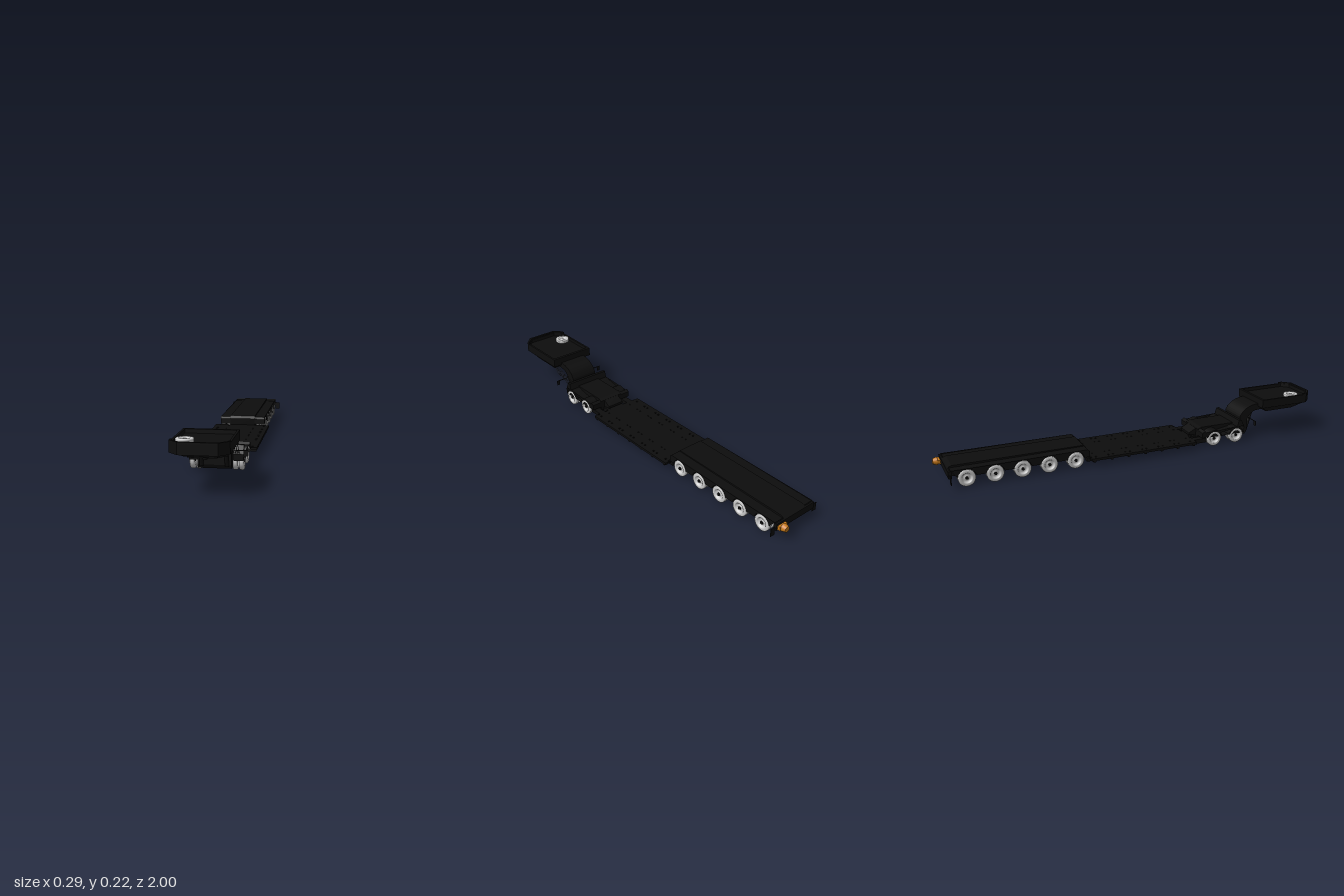
import * as THREE from 'three';
import { ConvexGeometry } from 'three/addons/geometries/ConvexGeometry.js';

const dark = new THREE.MeshStandardMaterial({ color: 0x0d0d0d, side: THREE.DoubleSide });
const grey = new THREE.MeshStandardMaterial({ color: 0xcccccc });
const orange = new THREE.MeshStandardMaterial({ color: 0xc87a1a });
const R = 0.041; // wheel radius

const shapeOf = (pts) => new THREE.Shape(pts.map(([a, b]) => new THREE.Vector2(a, b)));

export function createModel() {
  const root = new THREE.Group();
  const add = (name, geo, mat = dark, parent = root) => {
    const m = new THREE.Mesh(geo, mat);
    m.name = name;
    parent.add(m);
    return m;
  };
  // box given by its limits on each axis
  const box = (name, x0, x1, y0, y1, z0, z1, mat) => {
    const m = add(name, new THREE.BoxGeometry(x1 - x0, y1 - y0, z1 - z0), mat);
    m.position.set((x0 + x1) / 2, (y0 + y1) / 2, (z0 + z1) / 2);
    return m;
  };
  const boxPair = (name, x0, x1, ...r) => {
    box(name, x0, x1, ...r);
    box(name, -x1, -x0, ...r);
  };
  // side profile of (z, y) points, extruded across x
  const across = (name, shape, x0, x1) => {
    const g = new THREE.ExtrudeGeometry(shape, { depth: x1 - x0, bevelEnabled: false, curveSegments: 10 });
    g.rotateY(-Math.PI / 2).translate(x1, 0, 0);
    return add(name, g);
  };
  // plan outline of (x, z) points, extruded upward
  const upward = (name, shape, y0, y1) => {
    const g = new THREE.ExtrudeGeometry(shape, { depth: y1 - y0, bevelEnabled: false });
    g.rotateX(Math.PI / 2).translate(0, y1, 0);
    return add(name, g);
  };
  const tube = (name, pts, r) => add(name, new THREE.TubeGeometry(
    new THREE.CatmullRomCurve3(pts.map((p) => new THREE.Vector3(...p))), 14, r, 6));

  // Wheels: tyre, dished rim and hub in one lathe
  const outline = [[0, 0.006], [0.010, 0.006], [0.012, 0.001], [0.020, 0.003], [0.024, 0.010],
    [0.027, 0.012], [0.036, 0.011], [0.040, 0.009], [R, 0.006]];
  const profile = [...outline, ...outline.map(([r, y]) => [r, -y]).reverse()]
    .map(([r, y]) => new THREE.Vector2(r, y)).reverse();
  const wheelGeo = new THREE.LatheGeometry(profile, 28);
  const hubGeo = new THREE.CylinderGeometry(0.007, 0.009, 0.022, 12);
  const axleGeo = new THREE.CylinderGeometry(0.008, 0.008, 0.16, 10);
  const addAxle = (z) => {
    const axle = new THREE.Group();
    axle.name = 'axle';
    for (const x of [-0.109, -0.081, 0.081, 0.109]) {
      const w = add('wheel', wheelGeo, grey, axle);
      w.position.x = x;
      w.rotation.z = x > 0 ? -Math.PI / 2 : Math.PI / 2;
      if (Math.abs(x) > 0.1) {
        const hub = add('hub', hubGeo, dark, axle);
        hub.position.x = x;
        hub.rotation.z = w.rotation.z;
      }
    }
    add('axleBeam', axleGeo, dark, axle).rotation.z = Math.PI / 2;
    axle.position.set(0, R, z);
    root.add(axle);
    boxPair('suspensionArm', 0.04, 0.062, 0.025, 0.08, z - 0.03, z + 0.012);
  };

  // Bogie side with wheel arches cut into its lower edge
  const archedSides = (name, axles, start, end) => {
    const s = new THREE.Shape();
    s.moveTo(...start[0]);
    const a = Math.asin(0.009 / 0.044);
    for (const z of axles) s.absarc(z, R, 0.044, Math.PI - a, a, true);
    for (const p of end) s.lineTo(...p);
    for (const p of start.slice(1)) s.lineTo(...p);
    across(name, s, 0.066, 0.12);
    across(name, s, -0.12, -0.066);
  };

  // Rear bogie
  const rearAxles = [-0.882, -0.75, -0.62, -0.49, -0.358];
  rearAxles.forEach(addAxle);
  archedSides('rearFender', rearAxles, [[-0.955, 0.05], [-0.96, 0.083], [-0.955, 0.088]],
    [[-0.288, 0.05], [-0.288, 0.078], [-0.298, 0.088]]);
  across('rearSpine', shapeOf([[-0.96, 0.045], [-0.9, 0.034], [-0.29, 0.03], [-0.287, 0.08],
    [-0.3, 0.093], [-0.94, 0.093], [-0.962, 0.084]]), -0.067, 0.067);
  box('rearBumper', -0.12, 0.12, 0.05, 0.085, -0.966, -0.95);
  boxPair('rearMarkerPlate', 0.122, 0.146, 0.028, 0.068, -0.96, -0.957);
  boxPair('rearMarkerArm', 0.1, 0.125, 0.058, 0.063, -0.961, -0.956);

  // Orange beacon at the rear
  const beacon = add('beacon', new THREE.CylinderGeometry(0.014, 0.02, 0.022, 20), orange);
  beacon.rotation.x = -Math.PI / 2;
  beacon.position.set(0.09, 0.064, -0.989);
  box('beaconBracket', 0.066, 0.114, 0.056, 0.074, -0.98, -0.964, orange);

  // Low deck with lashing slots
  const deck = shapeOf([[-0.128, -0.288], [0.128, -0.288], [0.128, 0.285], [-0.128, 0.285]]);
  for (let i = 0; i < 7; i++) {
    for (const dz of [-0.012, 0.012]) for (const x of [-0.12, -0.07, 0.07, 0.12]) {
      const z = -0.27 + i * 0.09 + dz, w = Math.abs(x) > 0.1 ? 0.005 : 0.003;
      deck.holes.push(new THREE.Path([[x - w, z - 0.004], [x - w, z + 0.004],
        [x + w, z + 0.004], [x + w, z - 0.004]].map((p) => new THREE.Vector2(...p))));
    }
  }
  upward('deckPlate', deck, 0.038, 0.046);
  boxPair('deckSideRail', 0.128, 0.145, 0.034, 0.046, -0.286, 0.284);
  boxPair('deckMainBeam', 0.078, 0.11, 0.022, 0.04, -0.3, 0.285);
  boxPair('deckInnerBeam', 0.035, 0.05, 0.02, 0.042, -0.3, 0.36);
  boxPair('deckCoupling', 0.075, 0.108, 0.022, 0.044, 0.28, 0.36);
  box('deckCouplingTongue', -0.035, 0.035, 0.024, 0.044, 0.28, 0.36);
  for (let i = 0; i < 7; i++) {
    const z = -0.27 + i * 0.09;
    box('deckCrossMember', -0.11, 0.11, 0.025, 0.04, z - 0.006, z + 0.006);
    boxPair('deckOutrigger', 0.11, 0.142, 0.026, 0.037, z - 0.006, z + 0.006);
  }

  // Front bogie
  const frontAxles = [0.4, 0.53];
  frontAxles.forEach(addAxle);
  archedSides('frontFender', frontAxles, [[0.335, 0.05], [0.33, 0.05], [0.33, 0.078], [0.345, 0.088]],
    [[0.578, 0.05], [0.578, 0.08], [0.57, 0.088]]);
  across('frontSpine', shapeOf([[0.33, 0.03], [0.6, 0.022], [0.6, 0.085], [0.575, 0.092],
    [0.35, 0.092], [0.33, 0.084]]), -0.067, 0.067);
  across('frontBogieNose', shapeOf([[0.29, 0.05], [0.335, 0.045], [0.335, 0.086], [0.29, 0.062]]), -0.045, 0.045);
  across('headboard', shapeOf([[0.535, 0.085], [0.575, 0.085], [0.56, 0.118], [0.545, 0.118]]), -0.12, 0.12);

  // Curved neck
  const neck = new THREE.Shape();
  neck.moveTo(0.72, 0.182);
  neck.lineTo(0.665, 0.178);
  neck.quadraticCurveTo(0.6, 0.168, 0.577, 0.12);
  neck.lineTo(0.575, 0.022);
  neck.lineTo(0.61, 0.022);
  neck.lineTo(0.622, 0.04);
  neck.lineTo(0.622, 0.1);
  neck.quadraticCurveTo(0.635, 0.135, 0.67, 0.145);
  neck.lineTo(0.72, 0.148);
  across('neck', neck, -0.074, 0.074);
  for (const s of [-1, 1]) {
    const ram = add('neckRam', new THREE.CylinderGeometry(0.009, 0.009, 0.11, 12));
    ram.position.set(s * 0.055, 0.09, 0.64);
    ram.rotation.x = 0.3;
  }

  // Front marker plates on arms
  boxPair('frontMarkerArm', 0.07, 0.145, 0.107, 0.11, 0.628, 0.632);
  boxPair('frontMarkerPlate', 0.128, 0.145, 0.084, 0.11, 0.629, 0.632);

  // Air and hydraulic hoses beside the neck
  for (let i = 0; i < 4; i++) {
    const x = 0.083 + i * 0.008;
    tube('hose', [[x, 0.155, 0.7], [x + 0.002, 0.13, 0.665], [x - 0.004, 0.115, 0.62], [x - 0.006, 0.08, 0.57]], 0.0016);
  }

  // Gooseneck head: tapered hull, floor and raised rim
  const plan = (w, z0, z1, zc, wc) => [[-w, z0], [w, z0], [w, zc], [wc, z1], [-wc, z1], [-w, zc]];
  const hull = [...plan(0.118, 0.69, 0.997, 0.96, 0.08).map(([x, z]) => new THREE.Vector3(x, 0.17, z)),
    ...plan(0.098, 0.72, 0.91, 0.88, 0.07).map(([x, z]) => new THREE.Vector3(x, 0.14, z))];
  add('headUnderside', new ConvexGeometry(hull));
  upward('headFloor', shapeOf(plan(0.12, 0.685, 1.0, 0.96, 0.08)), 0.166, 0.192);
  const rim = shapeOf(plan(0.12, 0.685, 1.0, 0.96, 0.08));
  rim.holes.push(new THREE.Path(plan(0.11, 0.70, 0.985, 0.952, 0.076).map((p) => new THREE.Vector2(...p))));
  upward('headRim', rim, 0.19, 0.21);
  const frontLip = shapeOf([[-0.12, 0.94], [-0.112, 0.94], [-0.112, 0.955], [-0.076, 0.988], [0.076, 0.988],
    [0.112, 0.955], [0.112, 0.94], [0.12, 0.94], [0.12, 0.96], [0.08, 1.0], [-0.08, 1.0], [-0.12, 0.96]]);
  upward('headFrontLip', frontLip, 0.208, 0.217);
  const pin = add('kingpin', new THREE.CylinderGeometry(0.012, 0.01, 0.03, 16));
  pin.position.set(0, 0.13, 0.84);
  box('kingpinPlate', -0.06, 0.06, 0.134, 0.142, 0.78, 0.9);

  // Spare wheel lying in the head
  const spare = add('spareWheel', wheelGeo, grey);
  spare.scale.set(0.92, 0.85, 0.92);
  spare.position.set(-0.072, 0.203, 0.89);

  return root;
}
